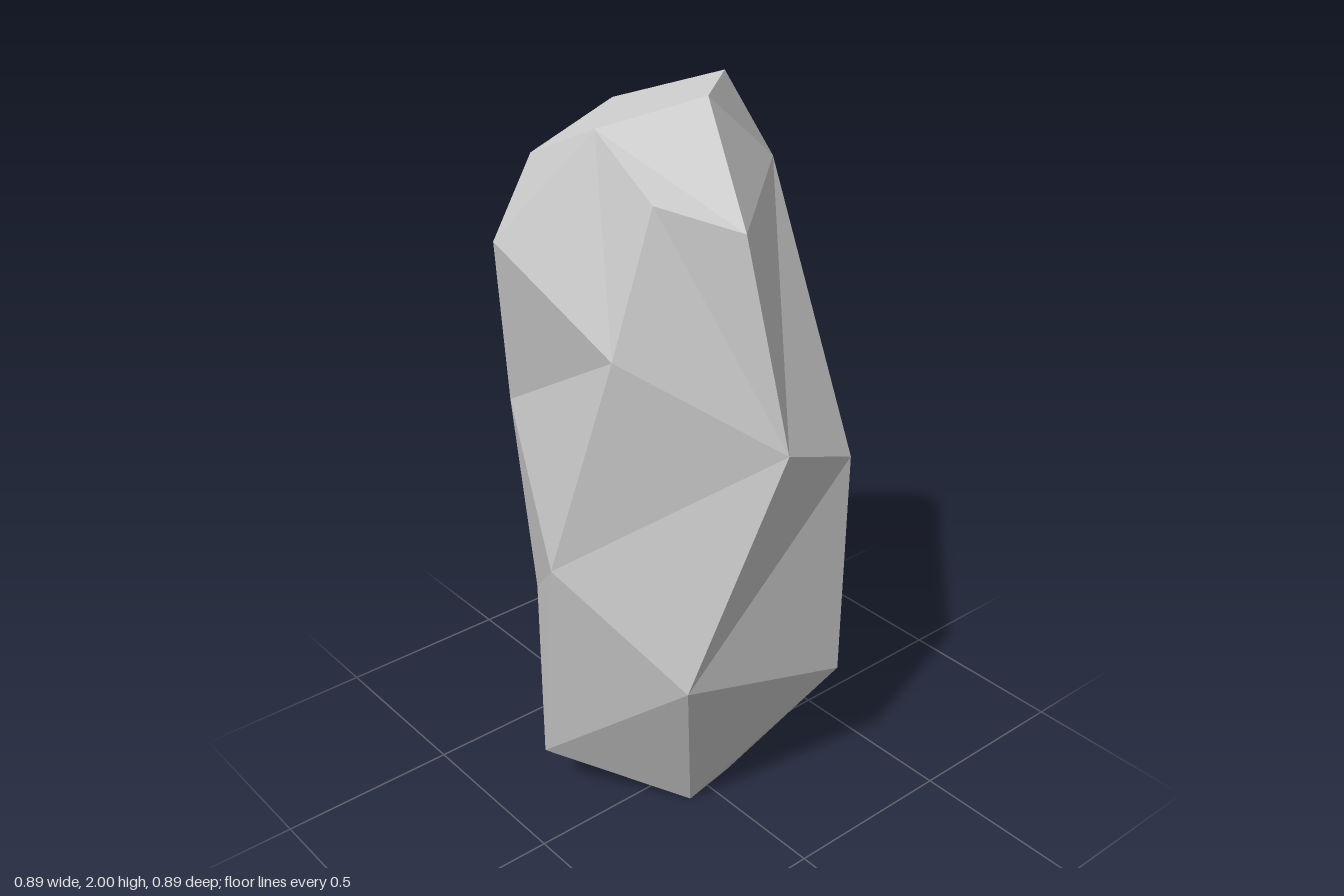
import * as THREE from 'three';

// Irregular rings of corners, top to bottom; each runs front -> +x -> back -> -x
const RINGS = [
  [[0.03, 1.98, 0.05], [0.16, 2, -0.04], [0.005, 1.91, -0.28], [-0.27, 1.835, -0.245], [-0.23, 1.93, -0.045]],
  [[-0.13, 1.77, 0.365], [0.335, 1.75, -0.05], [0.055, 1.485, -0.375], [-0.36, 1.62, -0.29], [-0.36, 1.46, 0.17], [-0.26, 1.82, 0.2]],
  [[-0.055, 1.225, 0.445], [0.255, 1.08, 0.35], [0.445, 1.275, 0.02], [0.22, 1.13, -0.445], [-0.27, 1.13, -0.39], [-0.45, 0.865, 0.02]],
  [[-0.25, 0.555, 0.31], [0.28, 0.4, 0.32], [0.4, 0.525, 0.01], [0.06, 0.4, -0.395], [-0.225, 0.535, -0.375], [-0.375, 0.163, -0.155]],
  [[-0.075, 0, 0.115], [0.09, 0, 0.085], [0.09, 0, 0], [0.09, 0.145, -0.28]],
];

// How neighbouring rings are zipped: u steps along the upper ring, l along the lower
const ZIPS = ['luulululllu', 'ullulluulluu', 'ulluulluullu', 'ululluuulu'];

function zip(upper, lower, steps, out) {
  let i = 0, j = 0;
  for (const step of steps) {
    const a = upper[i % upper.length], b = lower[j % lower.length];
    const c = step === 'u' ? upper[++i % upper.length] : lower[++j % lower.length];
    out.push(...a, ...b, ...c);
  }
}

function cap(ring, out) {
  for (let i = 1; i < ring.length - 1; i++) out.push(...ring[0], ...ring[i], ...ring[i + 1]);
}

export function createModel() {
  const positions = [];
  cap(RINGS[0], positions); // top facet
  ZIPS.forEach((steps, k) => zip(RINGS[k], RINGS[k + 1], steps, positions)); // sides
  cap([...RINGS[RINGS.length - 1]].reverse(), positions); // underside

  const geometry = new THREE.BufferGeometry();
  geometry.setAttribute('position', new THREE.Float32BufferAttribute(positions, 3));
  geometry.computeVertexNormals();

  const rock = new THREE.Mesh(geometry, new THREE.MeshStandardMaterial({ color: 0xcccccc, flatShading: true }));
  rock.name = 'rock';
  const group = new THREE.Group();
  group.name = 'standingRock';
  group.add(rock);
  return group;
}
